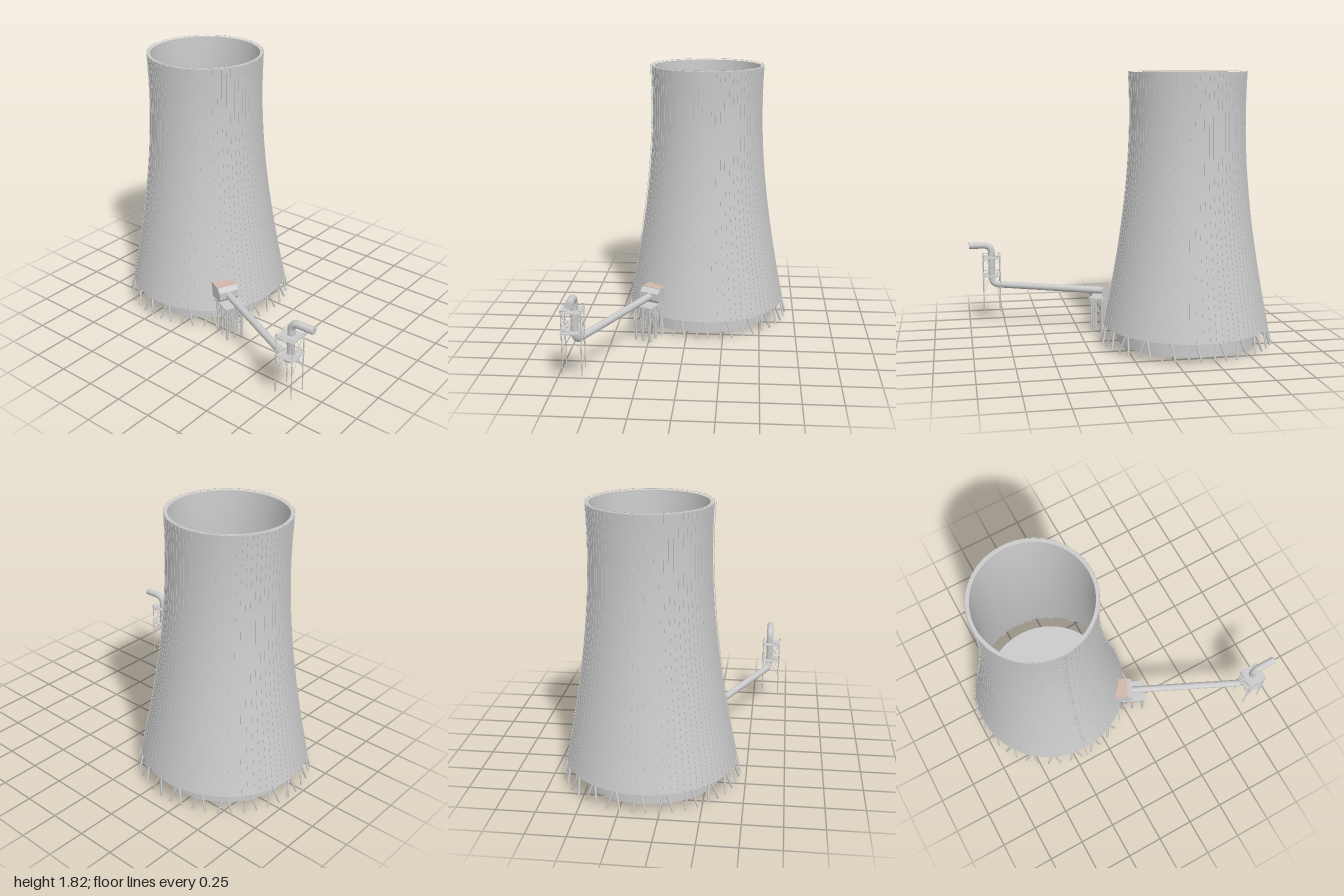
import * as THREE from 'three';
import { mergeGeometries } from 'three/addons/utils/BufferGeometryUtils.js';

const grey = new THREE.MeshStandardMaterial({ color: 0xcccccc });
const hoodTint = new THREE.MeshStandardMaterial({ color: 0xd0b8aa });
const V = (x, y, z) => new THREE.Vector3(x, y, z);

const BASE = 0.14, TOP = 1.805;
// Hyperbolic radius of the shell at height y
const radius = y => 0.38 * Math.hypot(1, (1.55 - y) / 1.347);
const heights = Array.from({ length: 29 }, (_, i) => BASE + (TOP - BASE) * i / 28);

function add(parent, name, geometry, material = grey) {
  const mesh = new THREE.Mesh(geometry, material);
  mesh.name = name;
  parent.add(mesh);
  return mesh;
}

// Round bar from a to b
function bar(a, b, r, sides = 6) {
  const dir = b.clone().sub(a);
  const g = new THREE.CylinderGeometry(r, r, dir.length(), sides);
  g.applyQuaternion(new THREE.Quaternion().setFromUnitVectors(V(0, 1, 0), dir.normalize()));
  const m = a.clone().add(b).multiplyScalar(0.5);
  return g.translate(m.x, m.y, m.z);
}

const box = (w, h, d, x, y, z) => new THREE.BoxGeometry(w, h, d).translate(x, y, z);
const polar = (r, y, a) => V(r * Math.sin(a), y, r * Math.cos(a));
const lathe = pts => new THREE.LatheGeometry(pts.map(p => new THREE.Vector2(...p)), 96);

function coolingTower() {
  const g = new THREE.Group();
  g.name = 'coolingTower';

  // Shell: outer skin, inner skin and lower edge
  add(g, 'shellOuter', lathe(heights.map(y => [radius(y), y])));
  add(g, 'shellInner', lathe(heights.map(y => [radius(y) - 0.014, y]).reverse()));
  add(g, 'shellLowerEdge', lathe([[radius(BASE) - 0.014, BASE], [radius(BASE), BASE]]));

  // Thin vertical ribs following the curve
  const strip = new THREE.Shape([
    ...heights.map(y => new THREE.Vector2(radius(y) + 0.002, y)),
    ...heights.map(y => new THREE.Vector2(radius(y) - 0.004, y)).reverse(),
  ]);
  const rib = new THREE.ExtrudeGeometry(strip, { depth: 0.004, bevelEnabled: false }).translate(0, 0, -0.002);
  const ribs = [];
  for (let i = 0; i < 80; i++) ribs.push(rib.clone().rotateY((i + 0.5) / 80 * Math.PI * 2));
  add(g, 'ribs', mergeGeometries(ribs));

  // Rim walkway with a low edge rail
  const ring = new THREE.Shape().absarc(0, 0, 0.388, 0, Math.PI * 2);
  ring.holes.push(new THREE.Path().absarc(0, 0, 0.364, 0, Math.PI * 2));
  add(g, 'rimWalkway', new THREE.ExtrudeGeometry(ring, { depth: 0.005, bevelEnabled: false, curveSegments: 48 })
    .rotateX(-Math.PI / 2).translate(0, TOP, 0));
  const rail = [new THREE.TorusGeometry(0.387, 0.0012, 4, 96).rotateX(Math.PI / 2).translate(0, 1.817, 0)];
  for (let i = 0; i < 48; i++) {
    const a = i / 48 * Math.PI * 2;
    rail.push(bar(polar(0.387, 1.808, a), polar(0.387, 1.817, a), 0.001, 4));
  }
  add(g, 'rimRail', mergeGeometries(rail));

  // Basin inside the ring of columns
  add(g, 'basin', new THREE.CylinderGeometry(0.462, 0.462, 0.112, 96).translate(0, 0.086, 0));

  // Raking columns in pairs, joined at the top
  const columns = [], pairs = 22, step = Math.PI * 2 / pairs;
  for (let i = 0; i < pairs; i++) {
    for (const s of [-1, 1]) {
      const a = (i + 0.5) * step;
      columns.push(bar(polar(0.542, 0.145, a + s * step * 0.06), polar(0.573, 0.03, a + s * step * 0.27), 0.007));
    }
  }
  add(g, 'rakingColumns', mergeGeometries(columns));

  // Access ladder up the front
  const ladder = [], rungs = 90;
  const at = (y, x) => V(x, y, radius(y) + 0.01);
  for (let i = 0; i < rungs; i++) {
    const y = 0.03 + 1.79 * i / rungs, y2 = 0.03 + 1.79 * (i + 1) / rungs;
    ladder.push(bar(at(y, -0.005), at(y, 0.005), 0.0008, 4));
    if (i % 3 === 0) {
      const y3 = Math.min(y2 + 2 * 1.79 / rungs, 1.82);
      for (const x of [-0.005, 0.005]) ladder.push(bar(at(y, x), at(y3, x), 0.001, 4));
    }
  }
  add(g, 'ladder', mergeGeometries(ladder));
  g.position.set(-0.42, 0, -0.115);
  return g;
}

// Duct inlet hood on its post-supported platform; local +x runs along the duct
function inletStation() {
  const g = new THREE.Group();
  g.name = 'inletStation';
  const side = new THREE.Shape([[-0.1, 0.25], [0.03, 0.25], [0.045, 0.27], [0.045, 0.32], [0.01, 0.345], [-0.1, 0.345]]
    .map(p => new THREE.Vector2(...p)));
  add(g, 'hood', new THREE.ExtrudeGeometry(side, { depth: 0.14, bevelEnabled: false }).translate(0, 0, -0.07));
  add(g, 'hoodRoof', box(0.11, 0.003, 0.14, -0.045, 0.3465, 0), hoodTint);
  add(g, 'platform', box(0.17, 0.008, 0.15, 0.055, 0.246, 0));

  const posts = [], braces = [], us = [-0.02, 0.05, 0.125], vs = [-0.055, 0, 0.055];
  for (const u of us) for (const v of vs) {
    posts.push(bar(V(u, 0, v), V(u, 0.245, v), 0.008, 10));
  }
  for (const v of [-0.055, 0.055]) for (let i = 0; i < 2; i++) {
    braces.push(bar(V(us[i], 0.12, v), V(us[i + 1], 0.24, v), 0.003));
    braces.push(bar(V(us[i], 0.24, v), V(us[i + 1], 0.12, v), 0.003));
  }
  for (const u of us) {
    braces.push(bar(V(u, 0.235, -0.07), V(u, 0.235, 0.07), 0.004));
    braces.push(bar(V(u, 0.13, -0.055), V(u, 0.13, 0.055), 0.003));
  }
  add(g, 'platformPosts', mergeGeometries(posts));
  add(g, 'platformBraces', mergeGeometries(braces));
  g.position.set(0.03, 0, 0.235);
  g.rotation.y = -Math.atan2(0.42, 0.905);
  return g;
}

// Long pipe with two rounded bends
function duct() {
  const pts = [V(0.03, 0.292, 0.235), V(0.84, 0.292, 0.615), V(0.84, 0.578, 0.615), V(1, 0.578, 0.615)];
  const path = new THREE.CurvePath();
  let from = pts[0];
  for (let i = 1; i < 3; i++) {
    const p = pts[i];
    const a = p.clone().add(pts[i - 1].clone().sub(p).setLength(0.06));
    const b = p.clone().add(pts[i + 1].clone().sub(p).setLength(0.06));
    path.add(new THREE.LineCurve3(from, a));
    path.add(new THREE.QuadraticBezierCurve3(a, p, b));
    from = b;
  }
  path.add(new THREE.LineCurve3(from, pts[3]));
  const g = new THREE.Group();
  g.name = 'duct';
  add(g, 'pipe', new THREE.TubeGeometry(path, 160, 0.024, 20));
  add(g, 'pipeEnd', new THREE.CircleGeometry(0.024, 20).rotateY(Math.PI / 2).translate(1, 0.578, 0.615));
  return g;
}

// Braced frame around the rising pipe
function pipeFrame() {
  const g = new THREE.Group();
  g.name = 'pipeFrame';
  const h = 0.059, legs = [], braces = [], decks = [], rails = [];
  const corners = [[-h, -h], [h, -h], [h, h], [-h, h]];
  corners.forEach(([x, z], i) => {
    const [x2, z2] = corners[(i + 1) % 4];
    legs.push(bar(V(x, 0.09, z), V(x, 0.505, z), 0.0035));
    // Cross braces above the lower deck, fanned braces below it
    braces.push(bar(V(x, 0.365, z), V(x2, 0.48, z2), 0.0018));
    braces.push(bar(V(x, 0.48, z), V(x2, 0.365, z2), 0.0018));
    const mx = (x + x2) / 2, mz = (z + z2) / 2;
    for (const [cx, cz] of [[x, z], [x2, z2]]) braces.push(bar(V(mx, 0.35, mz), V(cx, 0.245, cz), 0.0018));
    for (const y of [0.375, 0.505]) rails.push(bar(V(x * 1.1, y, z * 1.1), V(x2 * 1.1, y, z2 * 1.1), 0.0015));
  });
  for (const y of [0.355, 0.487]) decks.push(box(0.132, 0.006, 0.132, 0, y, 0));
  add(g, 'frameLegs', mergeGeometries(legs));
  add(g, 'frameBraces', mergeGeometries(braces));
  add(g, 'frameDecks', mergeGeometries(decks));
  add(g, 'frameRails', mergeGeometries(rails));
  g.position.set(0.84, 0, 0.627);
  return g;
}

export function createModel() {
  const model = new THREE.Group();
  model.name = 'coolingTowerWithDuct';
  model.add(coolingTower(), inletStation(), duct(), pipeFrame());
  return model;
}
